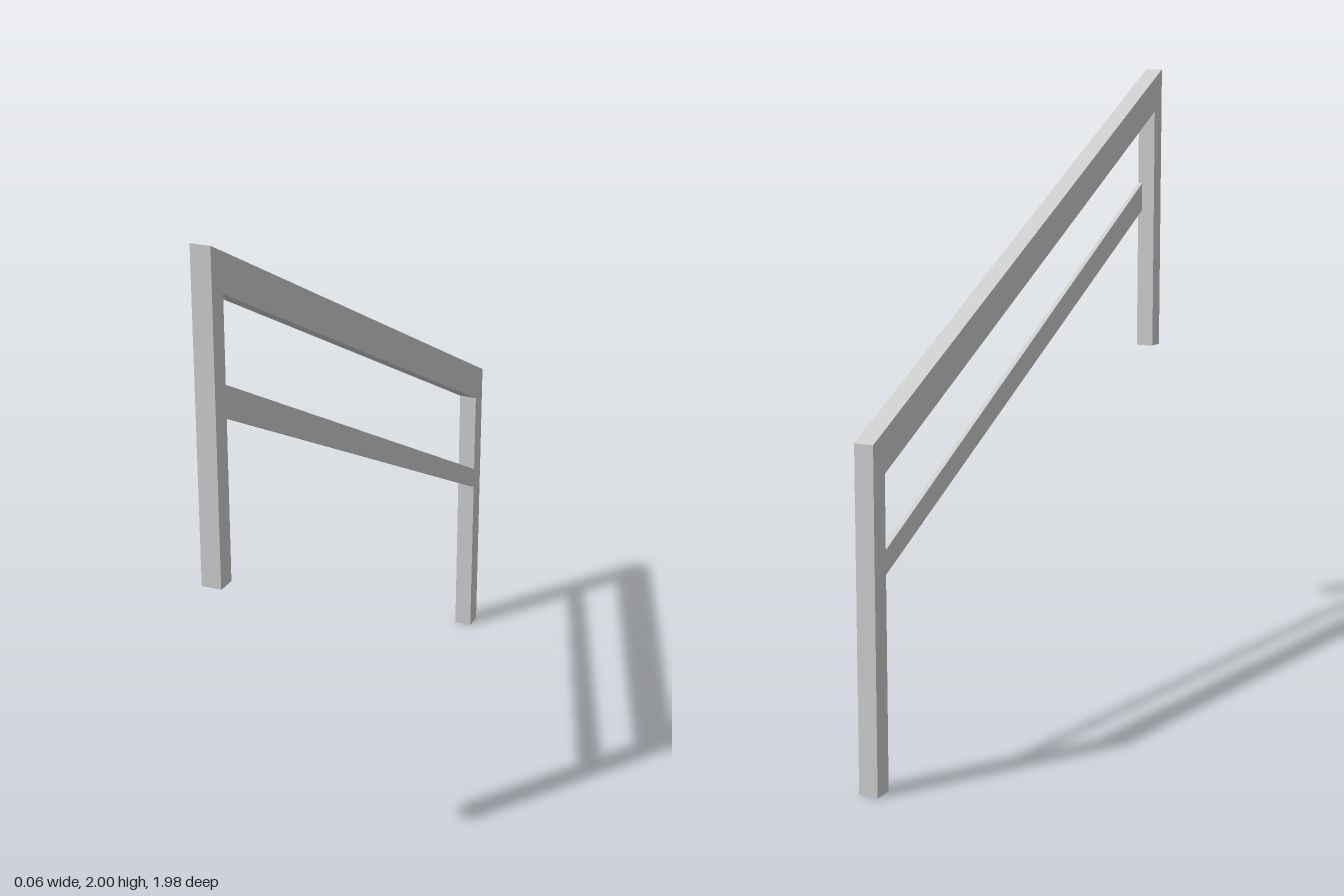
import * as THREE from 'three';

const material = new THREE.MeshStandardMaterial({
  color: 0xcccccc, flatShading: true, side: THREE.DoubleSide,
});

// Convex side profile of [z, y] corners, spanned from x0 to x1.
// Corners run counter-clockwise seen from +x; edges listed in open get no wall.
function bar(name, profile, x0, x1, open) {
  const positions = [];
  const tri = (...corners) => corners.forEach(([x, [z, y]]) => positions.push(x, y, z));
  const n = profile.length;
  for (let i = 1; i < n - 1; i++) {
    tri([x1, profile[0]], [x1, profile[i]], [x1, profile[i + 1]]);
    tri([x0, profile[0]], [x0, profile[i + 1]], [x0, profile[i]]);
  }
  profile.forEach((a, i) => {
    if (open.includes(i)) return;
    const b = profile[(i + 1) % n];
    tri([x1, a], [x0, a], [x0, b]);
    tri([x1, a], [x0, b], [x1, b]);
  });
  const geometry = new THREE.BufferGeometry();
  geometry.setAttribute('position', new THREE.Float32BufferAttribute(positions, 3));
  geometry.computeVertexNormals();
  const mesh = new THREE.Mesh(geometry, material);
  mesh.name = name;
  return mesh;
}

export function createModel() {
  const group = new THREE.Group();
  group.name = 'stairRailing';
  const w = 0.03; // half width of the posts and handrail
  const outer = 0.99, inner = 0.93; // post faces along z

  group.add(
    // Hollow posts, open at the foot and where the handrail joins
    bar('upperPost', [[outer, 1.03], [inner, 1.03], [inner, 1.855], [inner, 1.97], [outer, 2]], -w, w, [0, 2]),
    bar('lowerPost', [[-inner, 0], [-outer, 0], [-outer, 1], [-inner, 1.03], [-inner, 0.91]], -w, w, [0, 3]),
    // Sloping handrail between the posts
    bar('handrail', [[inner, 1.855], [-inner, 0.91], [-inner, 1.03], [inner, 1.97]], -w, w, [1, 3]),
    // Thin middle rail, flush with the +x side only
    bar('middleRail', [[inner, 1.51], [-inner, 0.565], [-inner, 0.635], [inner, 1.605]], 0.015, w, [1, 3]),
  );
  return group;
}
